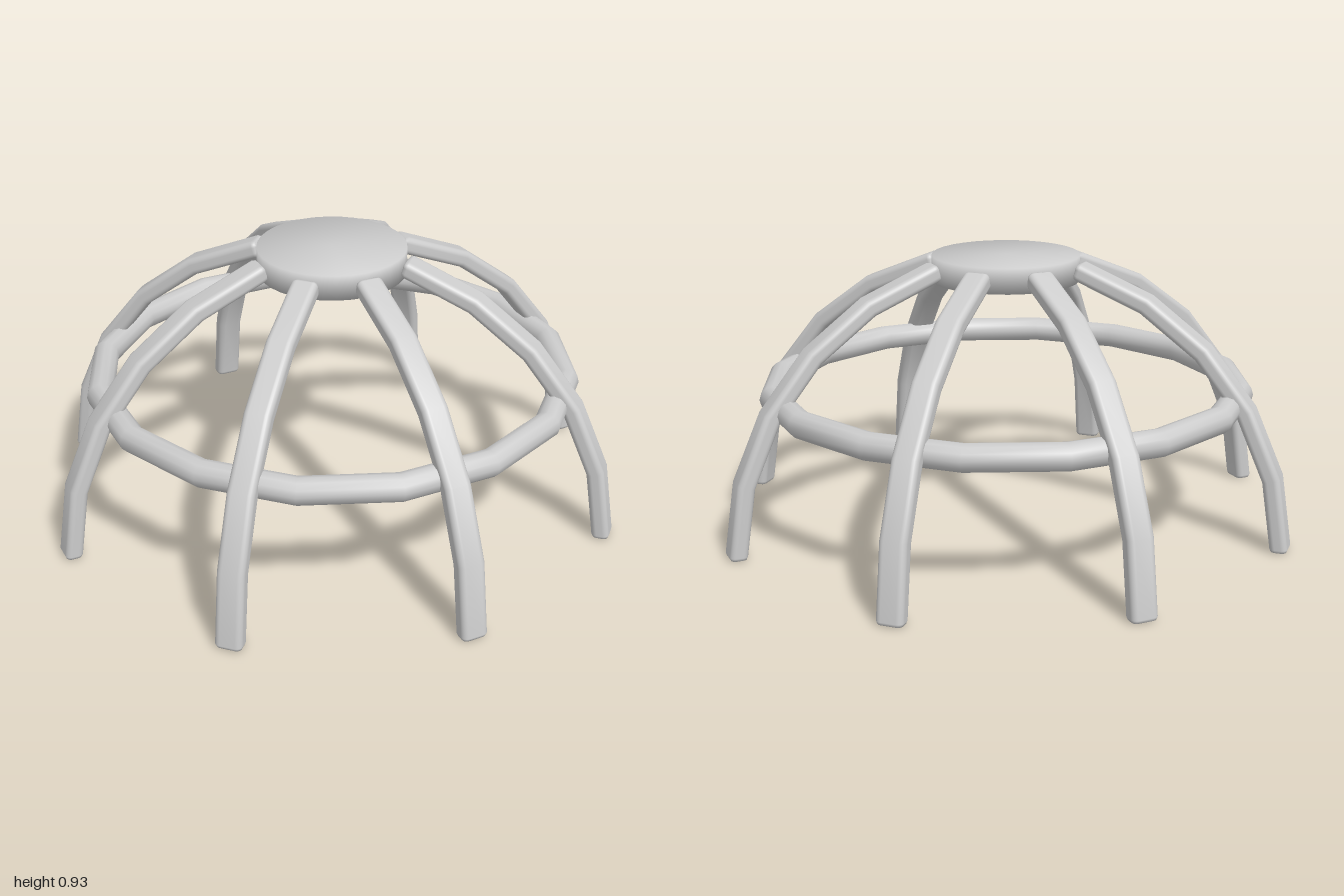
import * as THREE from 'three';
import { mergeVertices } from 'three/addons/utils/BufferGeometryUtils.js';

const material = new THREE.MeshStandardMaterial({ color: 0xcccccc });

// Weld a geometry and give it smooth normals throughout
function smooth(geometry) {
  geometry.deleteAttribute('normal');
  geometry.deleteAttribute('uv');
  const welded = mergeVertices(geometry, 1e-4);
  welded.computeVertexNormals();
  return welded;
}

function roundedRect(w, h, r) {
  const x = w / 2 - r, y = h / 2 - r, q = Math.PI / 2;
  const shape = new THREE.Shape();
  shape.absarc(x, y, r, 0, q);
  shape.absarc(-x, y, r, q, 2 * q);
  shape.absarc(-x, -y, r, 2 * q, 3 * q);
  shape.absarc(x, -y, r, 3 * q, 4 * q);
  shape.closePath();
  return shape;
}

// Rounded bar with softened ends, bent along a quarter of an ellipse
function legGeometry() {
  const a = 0.97, b = 0.93;
  const geometry = new THREE.ExtrudeGeometry(roundedRect(0.06, 0.09, 0.02), {
    depth: 5, steps: 5, curveSegments: 3,
    bevelThickness: 0.06, bevelSize: 0.014, bevelOffset: -0.014, bevelSegments: 2,
  });
  const p = geometry.attributes.position;
  for (let i = 0; i < p.count; i++) {
    const t = THREE.MathUtils.degToRad(1 + p.getZ(i) * 14.6);
    const n = new THREE.Vector2(b * Math.cos(t), a * Math.sin(t)).normalize();
    const out = p.getX(i);
    p.setXYZ(i, a * Math.cos(t) + n.x * out, b * Math.sin(t) + n.y * out, -p.getY(i));
  }
  return smooth(geometry);
}

export function createModel() {
  const model = new THREE.Group();
  model.name = 'domeFrame';
  const add = (name, geometry) => {
    const mesh = new THREE.Mesh(geometry, material);
    mesh.name = name;
    model.add(mesh);
    return mesh;
  };

  // Eight curved legs around the hub
  const leg = legGeometry();
  for (let i = 0; i < 8; i++) add('leg' + (i + 1), leg).rotation.y = (i * Math.PI) / 4;

  // Sixteen-sided brace ring, flats facing the axes
  const ring = new THREE.TorusGeometry(0.797, 0.045, 12, 16);
  ring.rotateX(Math.PI / 2).rotateY(Math.PI / 16);
  add('braceRing', smooth(ring)).position.y = 0.48;

  // Hub disc joining the tops of the legs
  add('hub', smooth(new THREE.CylinderGeometry(0.25, 0.25, 0.085, 32))).position.y = 0.893;

  return model;
}
